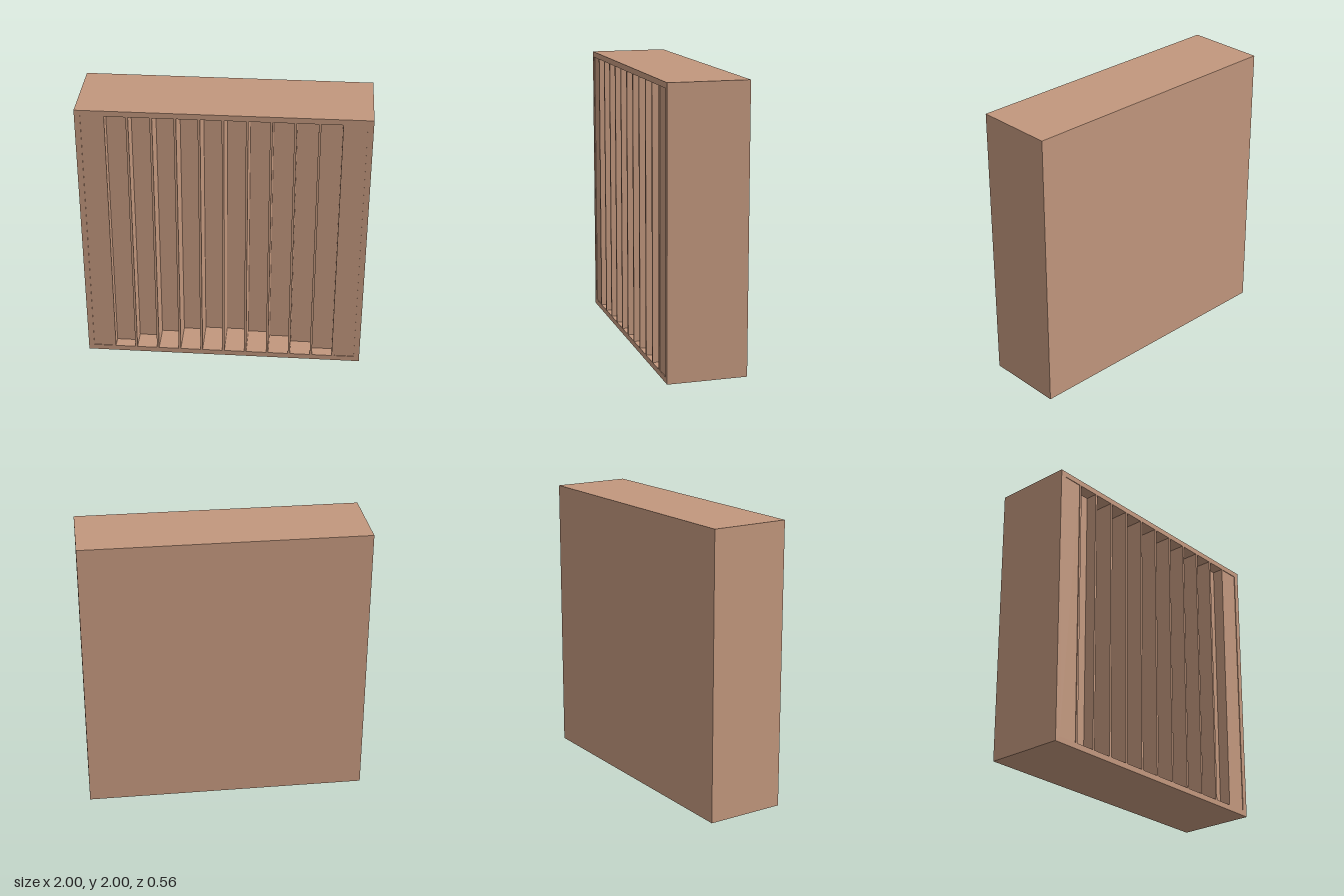
import * as THREE from 'three';

export function createModel() {
  const group = new THREE.Group();
  const clay = new THREE.MeshStandardMaterial({ color: 0xc2977d });
  clay.name = 'clay';

  const depth = 0.56, front = depth / 2, gridDepth = 0.28;
  const slots = 12, slotWidth = 0.145, pitch = (1.92 - slotWidth) / (slots - 1);
  const bottom = 0.04, top = 1.96;
  const slotLeft = (i) => -0.96 + i * pitch;

  function add(name, geometry, x, y, z) {
    const mesh = new THREE.Mesh(geometry, clay);
    mesh.name = name;
    mesh.position.set(x, y, z);
    group.add(mesh);
  }

  // Front frame and thin dividers, pierced by a row of tall slots
  const outline = new THREE.Shape([
    new THREE.Vector2(-1, 0), new THREE.Vector2(1, 0),
    new THREE.Vector2(1, 2), new THREE.Vector2(-1, 2),
  ]);
  for (let i = 0; i < slots; i++) {
    const l = slotLeft(i), r = l + slotWidth;
    outline.holes.push(new THREE.Path([
      new THREE.Vector2(l, bottom), new THREE.Vector2(l, top),
      new THREE.Vector2(r, top), new THREE.Vector2(r, bottom),
    ]));
  }
  const grid = new THREE.ExtrudeGeometry(outline, { depth: gridDepth, bevelEnabled: false });
  add('slottedFrame', grid, 0, 0, front - gridDepth);

  // Solid rear half
  const backDepth = depth - gridDepth;
  add('backBlock', new THREE.BoxGeometry(2, 2, backDepth), 0, 1, -front + backDepth / 2);

  // Slot floors: almost flush at the ends, deepest in the middle
  for (let i = 0; i < slots; i++) {
    const recess = 0.005 + 0.273 * Math.sin(Math.PI * i / (slots - 1));
    const thick = gridDepth - recess;
    if (thick < 0.001) continue;
    add('slotFloor' + (i + 1), new THREE.BoxGeometry(slotWidth, top - bottom, thick),
      slotLeft(i) + slotWidth / 2, (top + bottom) / 2, front - gridDepth + thick / 2);
  }
  return group;
}
